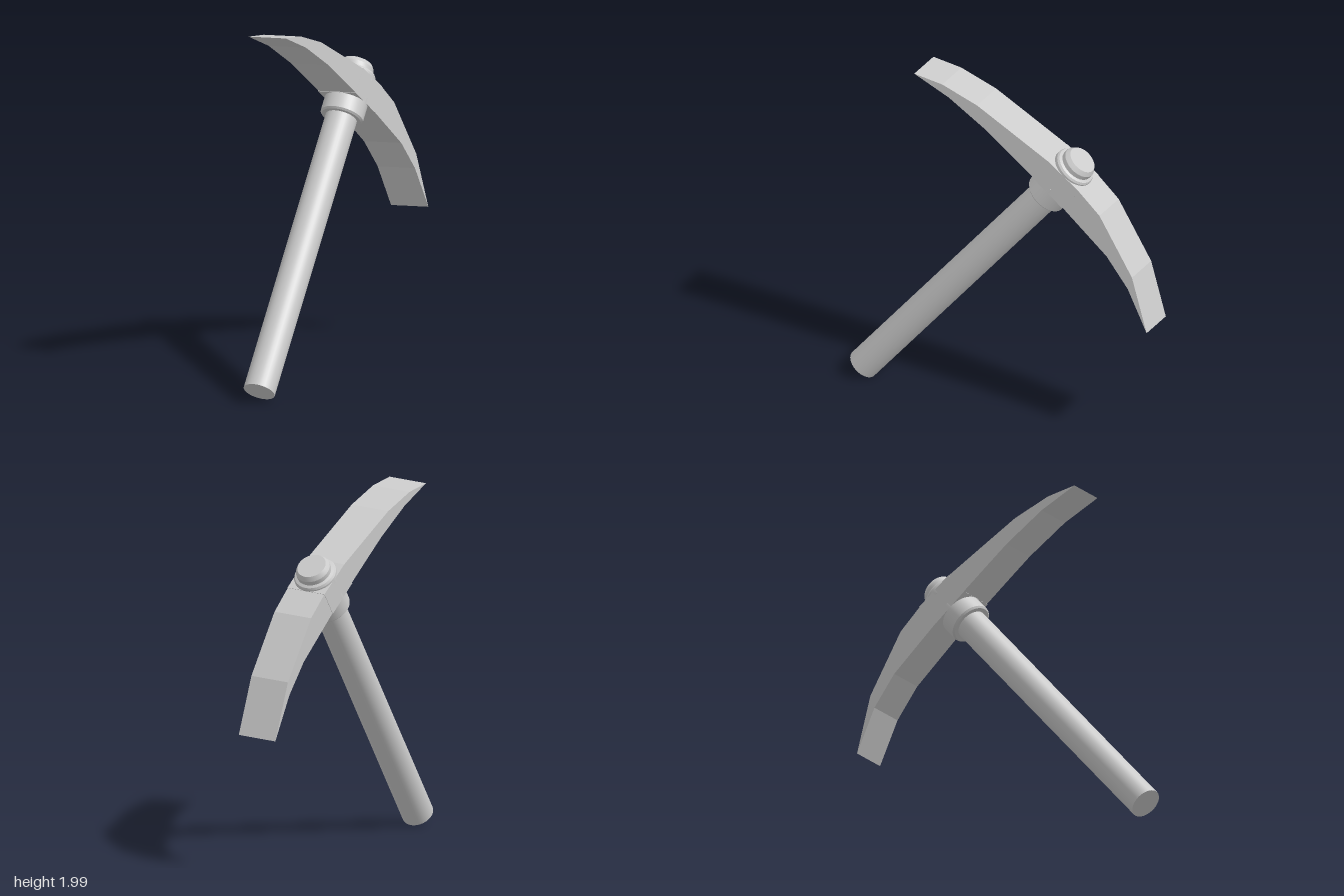
import * as THREE from 'three';
import { toCreasedNormals } from 'three/addons/utils/BufferGeometryUtils.js';

const material = new THREE.MeshStandardMaterial({ color: 0xcccccc });

function part(name, geometry) {
  const mesh = new THREE.Mesh(geometry, material);
  mesh.name = name;
  return mesh;
}

// Round part turned about the handle axis; points are [radius, height]
function turned(name, points) {
  const profile = points.map(([r, h]) => new THREE.Vector2(r, h));
  return part(name, toCreasedNormals(new THREE.LatheGeometry(profile, 32), 0.5));
}

// Flat side outline given a thickness, centred on the handle axis
function slab(name, outline, depth) {
  const shape = new THREE.Shape(outline.map(([x, y]) => new THREE.Vector2(x, y)));
  const geometry = new THREE.ExtrudeGeometry(shape, { depth, bevelEnabled: false });
  geometry.translate(0, 0, -depth / 2);
  return part(name, geometry);
}

export function createModel() {
  // Built upright: handle along y, blade along x
  const pick = new THREE.Group();
  pick.name = 'pickaxe';

  // Handle
  pick.add(turned('handle', [[0, 0], [0.089, 0], [0.089, 1.85], [0, 1.85]]));

  // Collar below the head
  pick.add(turned('collar', [[0.08, 1.715], [0.112, 1.715], [0.121, 1.725], [0.121, 1.85], [0, 1.85]]));

  // Curved blade with a chisel edge at both ends
  const lower = [[-0.978, 1.693], [-0.75, 1.758], [-0.479, 1.796], [-0.318, 1.805],
    [-0.12, 1.815], [0.12, 1.825], [0.483, 1.823], [0.694, 1.779]];
  const upper = [[0.943, 1.67], [0.664, 1.853], [0.292, 1.975], [0.12, 1.982],
    [-0.12, 1.966], [-0.419, 1.905], [-0.613, 1.865], [-0.829, 1.785]];
  pick.add(slab('blade', [...lower, ...upper], 0.236));

  // Socket block where the handle passes through the blade
  pick.add(slab('socket', [[-0.12, 1.812], [0.12, 1.822], [0.12, 1.984], [-0.12, 1.968]], 0.24));

  // Stepped cap on top
  pick.add(turned('cap', [[0, 1.95], [0.121, 1.95], [0.121, 1.99], [0.114, 2.002], [0.098, 2.008],
    [0.098, 2.035], [0.092, 2.045], [0.082, 2.06], [0, 2.06]]));

  // Lean the whole tool
  const up = new THREE.Vector3(0.598, 0.774, -0.211).normalize();
  const along = up.clone().cross(new THREE.Vector3(0.257, 0.064, 0.964)).normalize();
  const across = along.clone().cross(up);
  pick.quaternion.setFromRotationMatrix(new THREE.Matrix4().makeBasis(along, up, across));
  pick.position.set(-0.84, 0.062, 0.27);

  const model = new THREE.Group();
  model.name = 'model';
  model.add(pick);
  return model;
}
